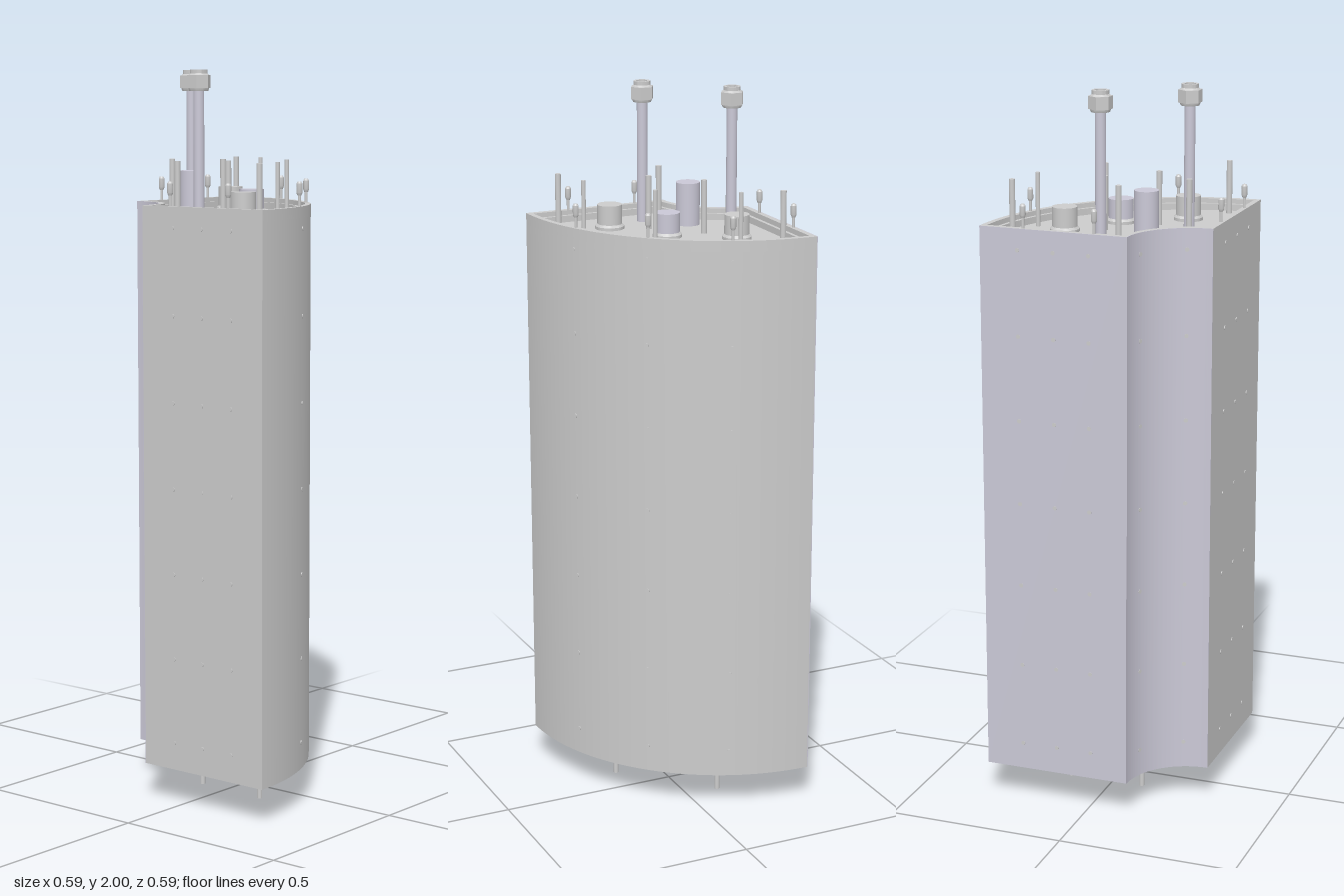
import * as THREE from 'three';
import { toCreasedNormals } from 'three/addons/utils/BufferGeometryUtils.js';

const CX = -0.296, CZ = 0.295, R = 0.591, r = 0.177;
const BASE = 0.1, FLOOR = 1.61, RIM = 1.64;
const grey = new THREE.MeshStandardMaterial({ color: 0xcccccc });
const tinted = new THREE.MeshStandardMaterial({ color: 0xcac8d6 });

// quarter-ring outline, inset by d on every side
function sector(d, PathType = THREE.Shape) {
  const p = new PathType();
  const ro = R - d, ri = r + d, ao = Math.asin(d / ro), ai = Math.asin(d / ri);
  p.absarc(0, 0, ro, ao, Math.PI / 2 - ao, false);
  p.absarc(0, 0, ri, Math.PI / 2 - ai, ai, true);
  p.closePath();
  return p;
}

export function createModel() {
  const model = new THREE.Group();

  function add(name, geo, x, y, z, mat = grey) {
    const m = new THREE.Mesh(geo, mat);
    m.name = name;
    m.position.set(x, y, z);
    model.add(m);
    return m;
  }

  // upright prism from a plan outline
  function slab(name, shape, y0, y1, mat) {
    const g = new THREE.ExtrudeGeometry(shape, { depth: y1 - y0, bevelEnabled: false, curveSegments: 40 });
    g.rotateX(-Math.PI / 2);
    return add(name, toCreasedNormals(g, 0.5), CX, y0, CZ, mat);
  }

  const rod = (name, x, z, rad, y0, y1, sides = 16, mat = grey) =>
    add(name, new THREE.CylinderGeometry(rad, rad, y1 - y0, sides), x, (y0 + y1) / 2, z, mat);

  // turned part with sharp edges
  function turned(name, pts, x, z, mat = grey) {
    const g = new THREE.LatheGeometry(pts.map(p => new THREE.Vector2(...p)), 28);
    return add(name, toCreasedNormals(g, 0.5), x, 0, z, mat);
  }

  // casing with a recessed, stepped top
  slab('casing', sector(0), BASE, FLOOR);
  const rim = sector(0);
  rim.holes.push(sector(0.016, THREE.Path));
  slab('rim', rim, FLOOR, RIM);
  const seal = sector(0.02);
  seal.holes.push(sector(0.03, THREE.Path));
  slab('sealLip', seal, FLOOR, RIM - 0.012);

  // tinted left-hand plate and concave inner skin
  add('sidePlate', new THREE.BoxGeometry(0.002, RIM - BASE, R - r), CX, (RIM + BASE) / 2, CZ - (R + r) / 2, tinted);
  const skin = new THREE.Shape();
  skin.absarc(0, 0, r + 0.001, 0, Math.PI / 2, false);
  skin.absarc(0, 0, r - 0.001, Math.PI / 2, 0, true);
  slab('innerSkin', skin, BASE, RIM, tinted);

  // rows of small fixings on all four walls
  const dot = new THREE.CylinderGeometry(0.006, 0.006, 0.004, 10).rotateX(Math.PI / 2);
  for (let i = 0; i < 7; i++) {
    const y = 0.175 + i * 0.2345;
    for (const s of [0.283, 0.383, 0.484]) {
      add('frontFixing', dot, CX + s, y, CZ);
      add('sideFixing', dot, CX, y, CZ - s).rotation.y = Math.PI / 2;
    }
    for (const [rad, angles] of [[R, [22.5, 45, 67.5]], [r, [22.5, 67.5]]])
      for (const deg of angles) {
        const a = THREE.MathUtils.degToRad(deg);
        add('curvedFixing', dot, CX + rad * Math.cos(a), y, CZ - rad * Math.sin(a)).rotation.y = a + Math.PI / 2;
      }
  }

  // fixings under the base
  for (const rad of [0.25, 0.4, 0.55])
    for (const deg of [12, 33, 57, 78]) {
      const a = THREE.MathUtils.degToRad(deg);
      rod('baseFixing', CX + rad * Math.cos(a), CZ - rad * Math.sin(a), 0.006, BASE - 0.002, BASE + 0.002, 10);
    }

  // three locating pins below
  for (const [x, z] of [[-0.095, -0.125], [0.125, 0.095], [-0.088, 0.088]])
    rod('basePin', x, z, 0.007, 0, BASE + 0.01);

  // short ports with a collar at the foot
  for (const [x, z, mat] of [[-0.15, -0.112, grey], [0.009, -0.011, tinted], [0.109, 0.147, grey]]) {
    rod('port', x, z, 0.034, FLOOR, 1.677, 28, mat);
    turned('portCollar', [[0.04, FLOOR], [0.04, FLOOR + 0.008], [0.034, FLOOR + 0.014]], x, z);
  }
  rod('tallPort', -0.107, 0.104, 0.033, FLOOR, 1.728, 28, tinted);

  // slim rods standing on the floor
  for (const [x, z, rad] of [
    [-0.228, -0.23, 0.008], [-0.098, -0.017, 0.008], [-0.213, 0.065, 0.008], [0.015, 0.096, 0.008],
    [-0.068, 0.21, 0.008], [0.228, 0.225, 0.008], [-0.116, -0.203, 0.006], [0.077, -0.08, 0.006], [0.2, 0.114, 0.006],
  ]) rod('slimRod', x, z, rad, FLOOR, 1.757);

  // headed pins around the rim
  for (const [x, z] of [[-0.288, -0.175], [-0.288, 0.025], [-0.073, -0.243], [0.115, -0.118],
    [0.241, 0.072], [-0.028, 0.286], [0.173, 0.286]]) {
    rod('rimPinStem', x, z, 0.004, RIM, 1.675, 10);
    turned('rimPinHead', [[0, 1.668], [0.005, 1.668], [0.008, 1.675], [0.008, 1.7], [0.005, 1.705], [0, 1.705]], x, z);
  }

  // two tall pipes with hexagonal couplings
  for (const [x, z] of [[-0.192, 0.007], [-0.009, 0.19]]) {
    rod('pipe', x, z, 0.0145, FLOOR, 1.975, 24, tinted);
    turned('couplingBody', [[0.014, 1.943], [0.025, 1.943], [0.028, 1.95], [0.028, 1.985],
      [0.023, 1.99], [0.023, 2], [0.015, 2], [0.015, 1.97]], x, z);
    const nut = new THREE.CylinderGeometry(0.033, 0.033, 0.034, 6);
    nut.rotateY(Math.PI / 6);
    add('couplingNut', toCreasedNormals(nut, 0.5), x, 1.968, z).rotation.y = Math.PI / 3;
    // round top keeps the nut clear of the bore
    rod('couplingTop', x, z, 0.015, 1.97, 1.988, 24, tinted);
  }

  return model;
}
